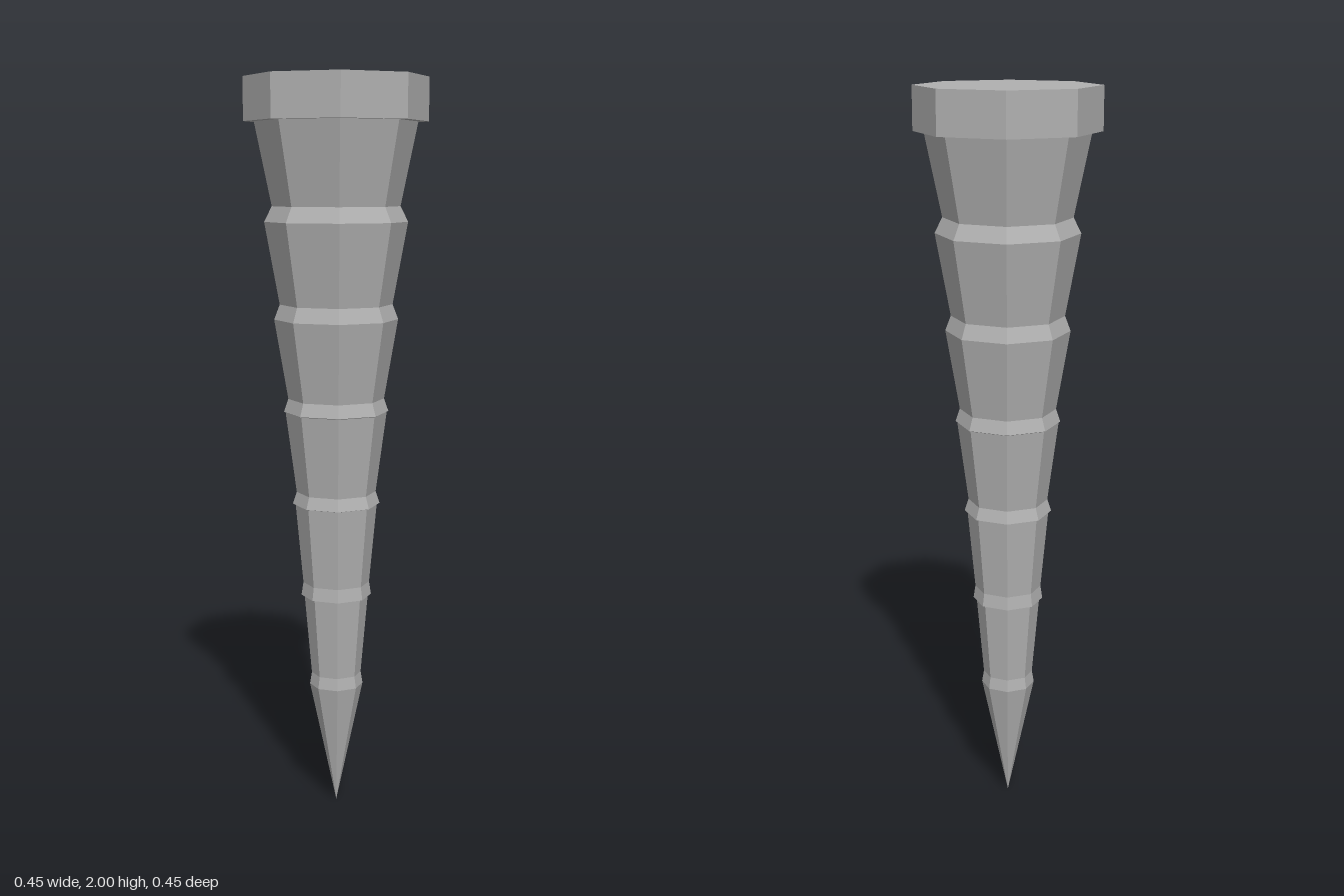
import * as THREE from 'three';

const SIDES = 8;
const TURN = Math.PI / SIDES; // puts a flat side to the front
const toCorner = (halfWidth) => halfWidth / Math.cos(TURN);

export function createModel() {
  const group = new THREE.Group();
  group.name = 'spike';
  const stone = new THREE.MeshStandardMaterial({ color: 0xb0b0b0, flatShading: true });
  stone.name = 'grey stone';

  // Shaft profile from tip to cap: [half width, height]
  const profile = [
    [0, 0],
    [0.068, 0.345], [0.063, 0.378],
    [0.081, 0.6], [0.089, 0.602], [0.084, 0.638],
    [0.103, 0.858], [0.11, 0.86], [0.1, 0.893],
    [0.127, 1.113], [0.131, 1.115], [0.12, 1.15],
    [0.154, 1.365], [0.14, 1.405],
    [0.177, 1.624], [0.158, 1.665],
    [0.201, 1.89],
  ].map(([w, y]) => new THREE.Vector2(toCorner(w), y));
  const shaft = new THREE.Mesh(new THREE.LatheGeometry(profile, SIDES, TURN), stone);
  shaft.name = 'segmentedShaft';
  group.add(shaft);

  // Wide octagonal cap
  const r = toCorner(0.226);
  const cap = new THREE.Mesh(new THREE.CylinderGeometry(r, r, 0.115, SIDES, 1, false, TURN), stone);
  cap.name = 'cap';
  cap.position.y = 2 - 0.115 / 2;
  group.add(cap);

  return group;
}
